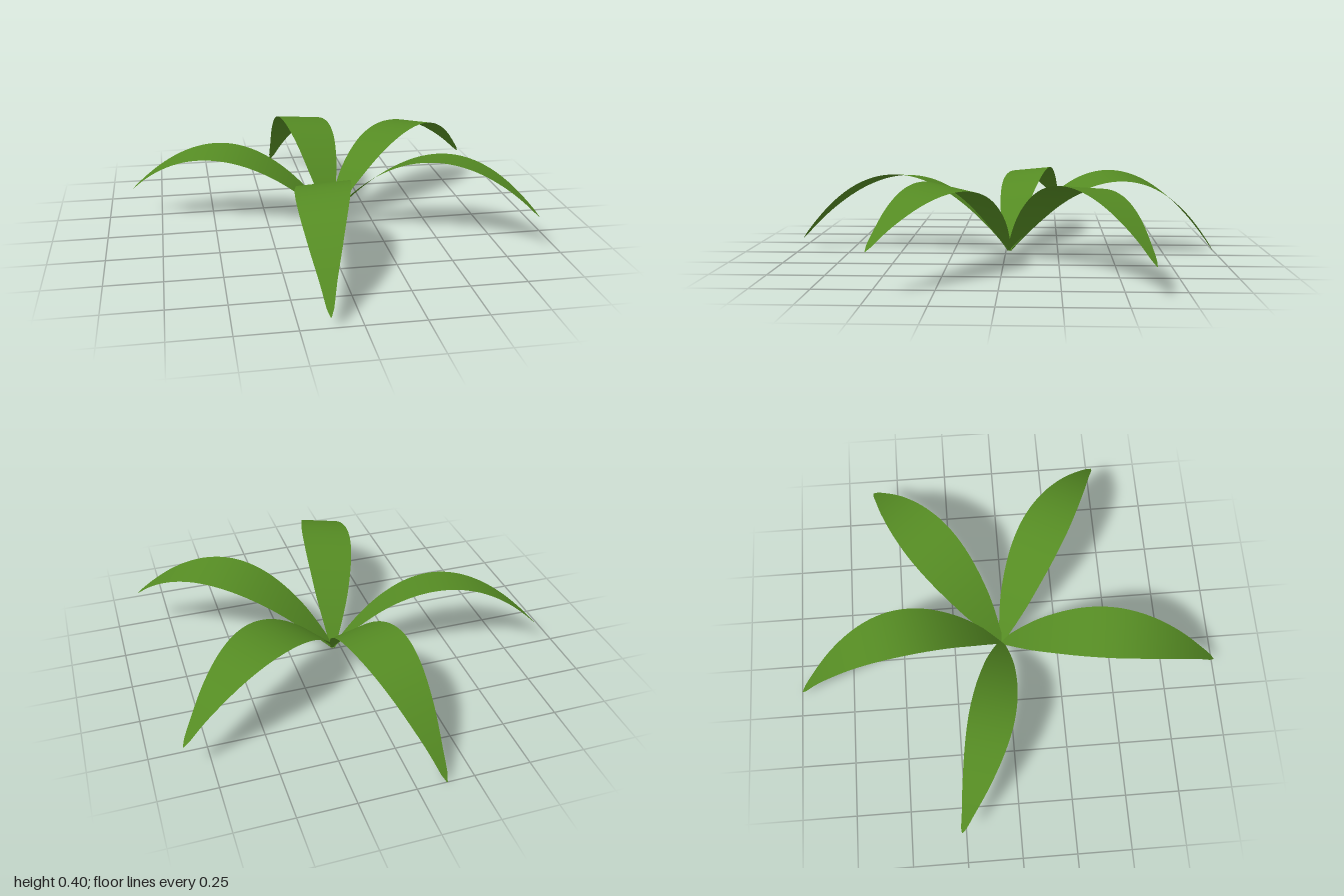
import * as THREE from 'three';

// Leaf width along its length: [fraction, width]
const WIDTHS = [[0, 0.025], [0.1, 0.11], [0.2, 0.172], [0.35, 0.225], [0.5, 0.236],
  [0.65, 0.203], [0.8, 0.137], [0.92, 0.064], [0.98, 0.028], [1, 0.004]];
const outline = new THREE.SplineCurve(WIDTHS.map(([s, w]) => new THREE.Vector2(s, w)));
const samples = outline.getPoints(200);

function widthAt(s) {
  const i = Math.max(1, samples.findIndex((p) => p.x >= s - 1e-6));
  const a = samples[i - 1], b = samples[i];
  return THREE.MathUtils.mapLinear(s, a.x, b.x, a.y, b.y);
}

// Common root of all the leaves
const ROOT = new THREE.Vector3(0.045, 0.03, -0.02);

// Arching blade: a parabola in height, bowed sideways, its bowed side rolled slightly down
function leafGeometry({ tip, mid, bow, width }) {
  const geo = new THREE.PlaneGeometry(1, 1, 4, 48);
  const pos = geo.attributes.position;
  const dx = tip[0] - ROOT.x, dz = tip[2] - ROOT.z;
  const len = Math.hypot(dx, dz);
  const nx = -dz / len, nz = dx / len;
  const drop = tip[1] - ROOT.y;
  const curve = 2 * drop - 4 * (mid - ROOT.y);
  const rise = drop - curve;
  const roll = -0.12 * Math.sign(bow);
  for (let i = 0; i < pos.count; i++) {
    const s = THREE.MathUtils.clamp(pos.getY(i) + 0.5, 0, 1);
    const across = pos.getX(i) * widthAt(s) * width;
    const side = across + 4 * bow * s * (1 - s);
    pos.setXYZ(i,
      ROOT.x + dx * s + nx * side,
      ROOT.y + rise * s + curve * s * s + across * roll,
      ROOT.z + dz * s + nz * side);
  }
  geo.computeVertexNormals();
  return geo;
}

const LEAVES = [
  { name: 'backLeaf', tip: [-0.13, 0.005, -1], mid: 0.38, bow: 0.035, width: 1 },
  { name: 'backLeftLeaf', tip: [0.86, 0.13, -0.61], mid: 0.38, bow: -0.021, width: 1 },
  { name: 'frontLeftLeaf', tip: [0.885, 0.185, 0.5], mid: 0.385, bow: -0.025, width: 0.95 },
  { name: 'frontLeaf', tip: [-0.13, 0.05, 1], mid: 0.372, bow: 0.032, width: 1 },
  { name: 'rightLeaf', tip: [-0.885, 0.14, -0.265], mid: 0.357, bow: -0.045, width: 0.86 },
];

export function createModel() {
  const plant = new THREE.Group();
  plant.name = 'plant';
  const green = new THREE.MeshStandardMaterial({ color: 0x558b23, side: THREE.DoubleSide });
  for (const leaf of LEAVES) {
    const mesh = new THREE.Mesh(leafGeometry(leaf), green);
    mesh.name = leaf.name;
    plant.add(mesh);
  }
  return plant;
}
